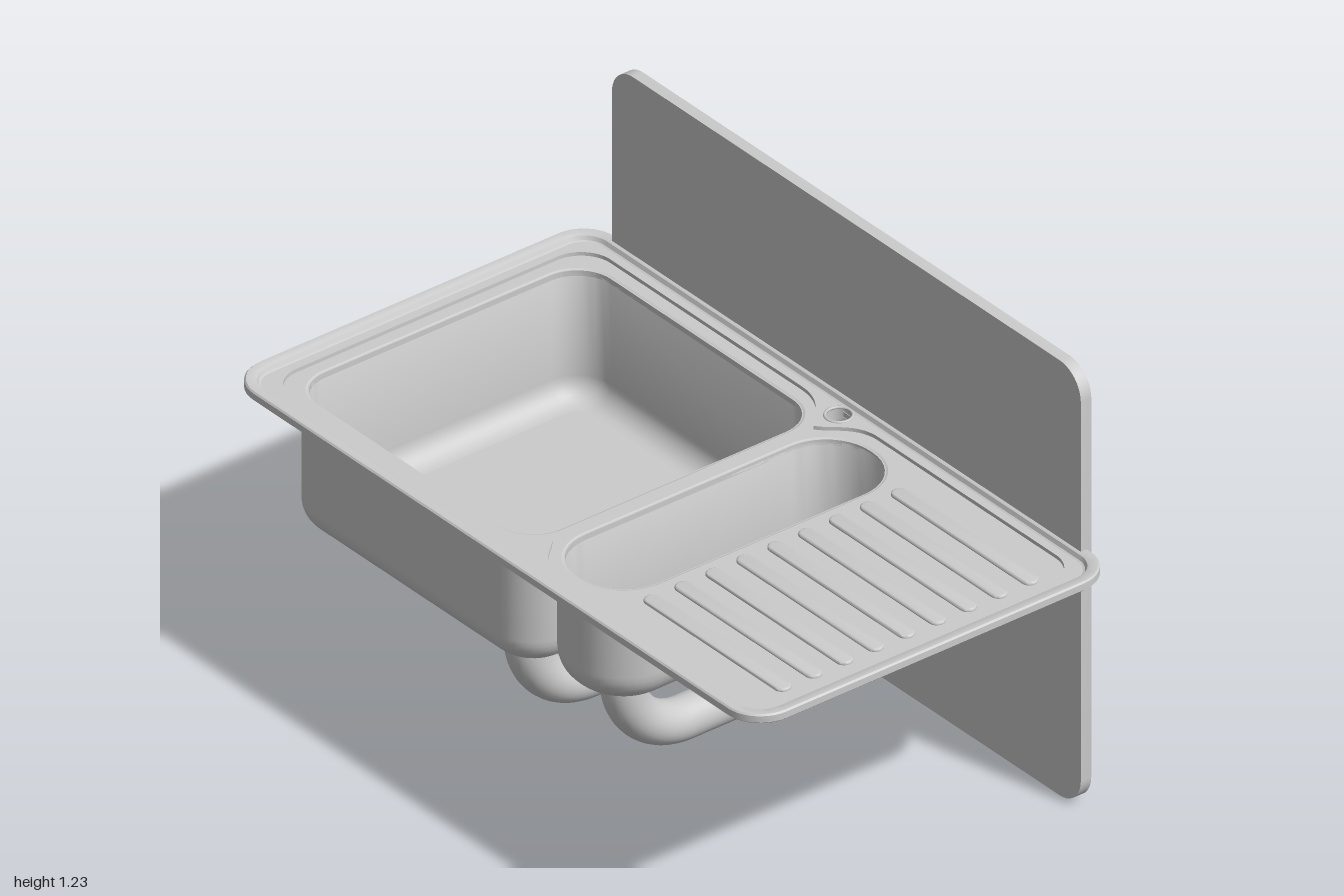
import * as THREE from 'three';
import { toCreasedNormals } from 'three/addons/utils/BufferGeometryUtils.js';

const steel = new THREE.MeshStandardMaterial({ color: 0xcccccc, side: THREE.DoubleSide });

function add(parent, name, geometry) {
  const mesh = new THREE.Mesh(geometry, steel);
  mesh.name = name;
  parent.add(mesh);
  return mesh;
}

// Rounded rectangle as points (x, -z), with an optional inset
function outline({ x, z, w, d, r }, inset = 0, steps = 10) {
  const points = [];
  const rad = Math.max(r - inset, 0.005);
  const hw = w / 2 - inset - rad, hd = d / 2 - inset - rad;
  [[1, 1], [-1, 1], [-1, -1], [1, -1]].forEach(([sx, sy], corner) => {
    for (let i = 0; i <= steps; i++) {
      const a = (corner + i / steps) * Math.PI / 2;
      points.push(new THREE.Vector2(x + sx * hw + rad * Math.cos(a), -z + sy * hd + rad * Math.sin(a)));
    }
  });
  return points;
}

const circle = (x, z, r) => new THREE.Path().absarc(x, -z, r, 0, Math.PI * 2);

// Horizontal plate from y to y + h, optionally with a chamfered edge
function plate(shape, holes, y, h, bevel = 0) {
  shape.holes.push(...holes);
  const geo = new THREE.ExtrudeGeometry(shape, {
    depth: h - 2 * bevel, curveSegments: 20, bevelEnabled: bevel > 0,
    bevelThickness: bevel, bevelSize: bevel, bevelOffset: -bevel, bevelSegments: 3,
  });
  geo.rotateX(-Math.PI / 2).translate(0, y + bevel, 0);
  return toCreasedNormals(geo, 0.6);
}

// Skin through stacked outlines; rows are [inset, y]
function loft(rect, rows) {
  const pos = [], index = [];
  let n = 0;
  rows.forEach(([inset, y]) => {
    const ring = outline(rect, inset);
    n = ring.length;
    ring.forEach(p => pos.push(p.x, y, -p.y));
  });
  for (let j = 0; j < rows.length - 1; j++) {
    for (let i = 0; i < n; i++) {
      const a = j * n + i, b = j * n + (i + 1) % n;
      index.push(a, a + n, b, b, a + n, b + n);
    }
  }
  const geo = new THREE.BufferGeometry();
  geo.setAttribute('position', new THREE.Float32BufferAttribute(pos, 3));
  geo.setIndex(index);
  return toCreasedNormals(geo, 0.6);
}

// Pipe dropping from yTop, then bending back to the wall
function pipe(x, z, yTop, yRun, bend, radius) {
  const k = bend * 0.45, v = (y, zz) => new THREE.Vector3(x, y, zz);
  const path = new THREE.CurvePath();
  path.add(new THREE.LineCurve3(v(yTop, z), v(yRun + bend, z)));
  path.add(new THREE.CubicBezierCurve3(v(yRun + bend, z), v(yRun + k, z), v(yRun, z - k), v(yRun, z - bend)));
  path.add(new THREE.LineCurve3(v(yRun, z - bend), v(yRun, -0.535)));
  return new THREE.TubeGeometry(path, 80, radius, 28, false);
}

// Edge of the sunken drainer area, with a pointed notch front and back
function sunkenEdge(grow = 0) {
  const X = 0.935 + grow, Z = 0.488 + grow, r = 0.09, tip = 0.4;
  const s = new THREE.Path();
  s.moveTo(-X + r, -Z);
  s.lineTo(-0.12, -Z);
  s.bezierCurveTo(-0.03, -Z, 0, -0.42, 0.035, -tip);
  s.bezierCurveTo(0.07, -0.42, 0.09, -Z, 0.17, -Z);
  s.lineTo(X - r, -Z);
  s.absarc(X - r, -Z + r, r, -Math.PI / 2, 0);
  s.absarc(X - r, Z - r, r, 0, Math.PI / 2);
  s.lineTo(0.17, Z);
  s.bezierCurveTo(0.09, Z, 0.07, 0.42, 0.035, tip);
  s.bezierCurveTo(0, 0.42, -0.03, Z, -0.12, Z);
  s.lineTo(-X + r, Z);
  s.absarc(-X + r, Z - r, r, Math.PI / 2, Math.PI);
  s.absarc(-X + r, -Z + r, r, Math.PI, Math.PI * 1.5);
  return s;
}

export function createModel() {
  const model = new THREE.Group();
  model.name = 'kitchenSink';
  const deckY = 0.7, wall = 0.018;
  const tray = { x: 0, z: 0.005, w: 2, d: 1.11, r: 0.1 };
  const bowls = [
    { name: 'mainBowl', x: -0.445, z: 0.003, w: 0.93, d: 0.93, r: 0.12, bottom: 0.325, fillet: 0.08, drainX: -0.167, runY: 0.12 },
    { name: 'smallBowl', x: 0.198, z: 0.003, w: 0.312, d: 0.93, r: 0.15, bottom: 0.37, fillet: 0.09, drainX: 0.197, runY: 0.18 },
  ];
  const drainZ = 0.315, tapX = 0.035, tapZ = -0.477;

  // Wall panel
  const panelShape = new THREE.Shape(outline({ x: 0, z: -0.6125, w: 1.78, d: 1.225, r: 0.08 }));
  const panel = new THREE.ExtrudeGeometry(panelShape, { depth: 0.032, bevelEnabled: false });
  add(model, 'wallPanel', toCreasedNormals(panel.translate(0, 0, -0.56), 0.6));

  // Raised rim around the tray
  add(model, 'rim', loft(tray, [
    [0.045, 0.69], [0.03, 0.7], [0.003, 0.7], [0, 0.703], [0, 0.721], [0.004, 0.725],
    [0.024, 0.725], [0.03, 0.722], [0.035, 0.712], [0.04, 0.71],
  ]));

  // Ledge inside the rim, carrying the tap hole
  add(model, 'ledge', plate(new THREE.Shape(outline(tray, 0.035)),
    [sunkenEdge(), circle(tapX, tapZ, 0.033)], deckY - 0.005, 0.015));

  // Deck with openings for bowls and tap
  add(model, 'deck', plate(new THREE.Shape(outline(tray, 0.045)),
    [...bowls.map(b => new THREE.Path(outline(b, wall))), circle(tapX, tapZ, 0.033)], 0.685, deckY - 0.685));

  // Tap hole collar and overflow pipe
  const collar = new THREE.TorusGeometry(0.034, 0.004, 8, 32).rotateX(Math.PI / 2);
  add(model, 'tapHoleCollar', collar).position.set(tapX, 0.71, tapZ);
  add(model, 'tapPipe', pipe(tapX, tapZ, 0.705, 0.628, 0.05, 0.033));

  // Bowls: outer wall, inner wall, floor, drain and waste pipe
  for (const b of bowls) {
    const g = new THREE.Group();
    g.name = b.name;
    model.add(g);
    const f = b.fillet;
    const rows = t => {
      const list = [];
      for (let i = 0; i <= 8; i++) {
        const a = i / 8 * Math.PI / 2;
        list.push([f - (f - t) * Math.cos(a), b.bottom + f - (f - t) * Math.sin(a)]);
      }
      return list;
    };
    add(g, 'outerWall', loft(b, [[0, 0.69], ...rows(0)]));
    add(g, 'innerWall', loft(b, [[wall - 0.008, deckY + 0.002], [wall - 0.003, deckY], [wall, deckY - 0.006], ...rows(wall)]));
    add(g, 'floor', plate(new THREE.Shape(outline(b, f)), [circle(b.drainX, drainZ, 0.04)], b.bottom, wall));
    const ring = new THREE.LatheGeometry(
      [[0.04, -0.012], [0.042, 0.002], [0.05, 0.005], [0.057, 0]].map(p => new THREE.Vector2(...p)), 32);
    add(g, 'drainRing', ring).position.set(b.drainX, b.bottom + wall, drainZ);
    add(g, 'wastePipe', pipe(b.drainX, drainZ, b.bottom + 0.005, b.runY, 0.185, 0.056));
  }

  // Drainer ribs
  for (let i = 0; i < 9; i++) {
    const rib = { x: 0.637, z: -0.377 + i * 0.0945, w: 0.535, d: 0.044, r: 0.022 };
    add(model, 'drainerRib', plate(new THREE.Shape(outline(rib, 0, 6)), [], deckY - 0.005, 0.013, 0.005));
  }
  return model;
}
